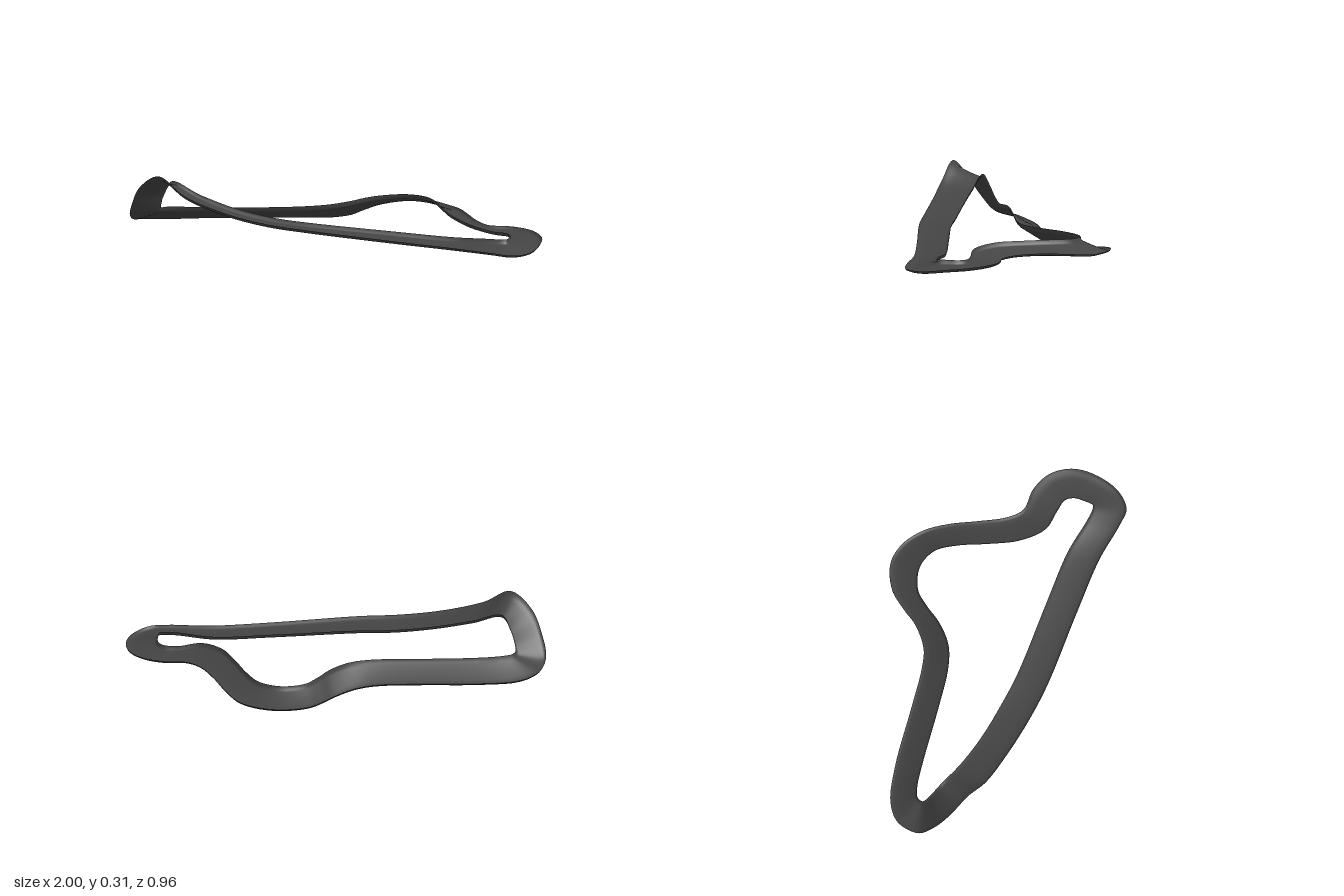
import * as THREE from 'three';

// Edge points of the circuit as [x, y, z], paired station by station
const OUTER = [
  [-1, 0.05, 0.11], [-0.97, 0.02, 0], [-0.88, 0.004, -0.07], [-0.7, 0.006, -0.112], [-0.4, 0.015, -0.14],
  [-0.2, 0.018, -0.162], [-0.1, 0.012, -0.19], [0, 0.008, -0.27], [0.05, 0.015, -0.345], [0.12, 0.025, -0.43],
  [0.24, 0.035, -0.483], [0.35, 0.035, -0.465], [0.45, 0.033, -0.395], [0.52, 0.045, -0.29], [0.58, 0.055, -0.16],
  [0.645, 0.055, -0.04], [0.71, 0.05, 0.018], [0.82, 0.05, 0.025], [0.92, 0.048, 0.07], [0.985, 0.042, 0.16],
  [0.998, 0.035, 0.27], [0.965, 0.022, 0.4], [0.89, 0.025, 0.473], [0.8, 0.033, 0.472], [0.6, 0.043, 0.443],
  [0.3, 0.065, 0.438], [-0.1, 0.1, 0.438], [-0.3, 0.118, 0.42], [-0.5, 0.155, 0.39], [-0.7, 0.22, 0.35],
  [-0.83, 0.3, 0.302], [-0.93, 0.232, 0.245], [-0.98, 0.13, 0.18],
];
const INNER = [
  [-0.855, 0.09, 0.08], [-0.84, 0.085, 0.052], [-0.79, 0.083, 0.033], [-0.67, 0.081, 0.016], [-0.38, 0.085, -0.01],
  [-0.18, 0.092, -0.035], [-0.07, 0.095, -0.075], [0.02, 0.095, -0.155], [0.08, 0.092, -0.24], [0.14, 0.088, -0.305],
  [0.24, 0.09, -0.338], [0.31, 0.092, -0.325], [0.365, 0.094, -0.29], [0.42, 0.098, -0.2], [0.475, 0.1, -0.07],
  [0.54, 0.1, 0.06], [0.64, 0.085, 0.155], [0.75, 0.06, 0.172], [0.82, 0.058, 0.188], [0.845, 0.058, 0.225],
  [0.847, 0.06, 0.27], [0.842, 0.062, 0.318], [0.825, 0.062, 0.326], [0.76, 0.062, 0.322], [0.58, 0.055, 0.29],
  [0.3, 0.07, 0.286], [-0.1, 0.095, 0.284], [-0.28, 0.108, 0.266], [-0.47, 0.14, 0.24], [-0.65, 0.19, 0.2],
  [-0.79, 0.24, 0.155], [-0.83, 0.18, 0.125], [-0.85, 0.12, 0.1],
];

// Road section from outer to inner edge: [fraction across, lift of the raised kerb]
const SECTION = [[0, 0.018], [0.03, 0.008], [0.1, 0.001], [0.3, -0.002], [0.6, -0.002], [0.9, 0], [0.97, 0.003], [1, 0.019]];

const closedCurve = (points) =>
  new THREE.CatmullRomCurve3(points.map((p) => new THREE.Vector3(...p)), true, 'centripetal');

// Sweeps the section between the two edge curves into a closed ribbon
function ribbon(outer, inner, steps) {
  const positions = [];
  const index = [];
  const n = SECTION.length;
  for (let i = 0; i < steps; i++) {
    const o = outer.getPoint(i / steps);
    const e = inner.getPoint(i / steps);
    for (const [u, lift] of SECTION) {
      const p = o.clone().lerp(e, u);
      positions.push(p.x, p.y + lift, p.z);
    }
    const next = (i + 1) % steps;
    for (let j = 0; j < n - 1; j++) {
      const a = i * n + j;
      const c = next * n + j;
      index.push(a, a + 1, c, a + 1, c + 1, c);
    }
  }
  const geometry = new THREE.BufferGeometry();
  geometry.setAttribute('position', new THREE.Float32BufferAttribute(positions, 3));
  geometry.setIndex(index);
  geometry.computeVertexNormals();
  return geometry;
}

export function createModel() {
  const group = new THREE.Group();
  group.name = 'raceTrack';
  const asphalt = new THREE.MeshStandardMaterial({ color: 0x444444, side: THREE.DoubleSide });

  // Banked road loop with raised kerbs
  const road = new THREE.Mesh(ribbon(closedCurve(OUTER), closedCurve(INNER), OUTER.length * 8), asphalt);
  road.name = 'roadLoop';
  group.add(road);
  return group;
}
